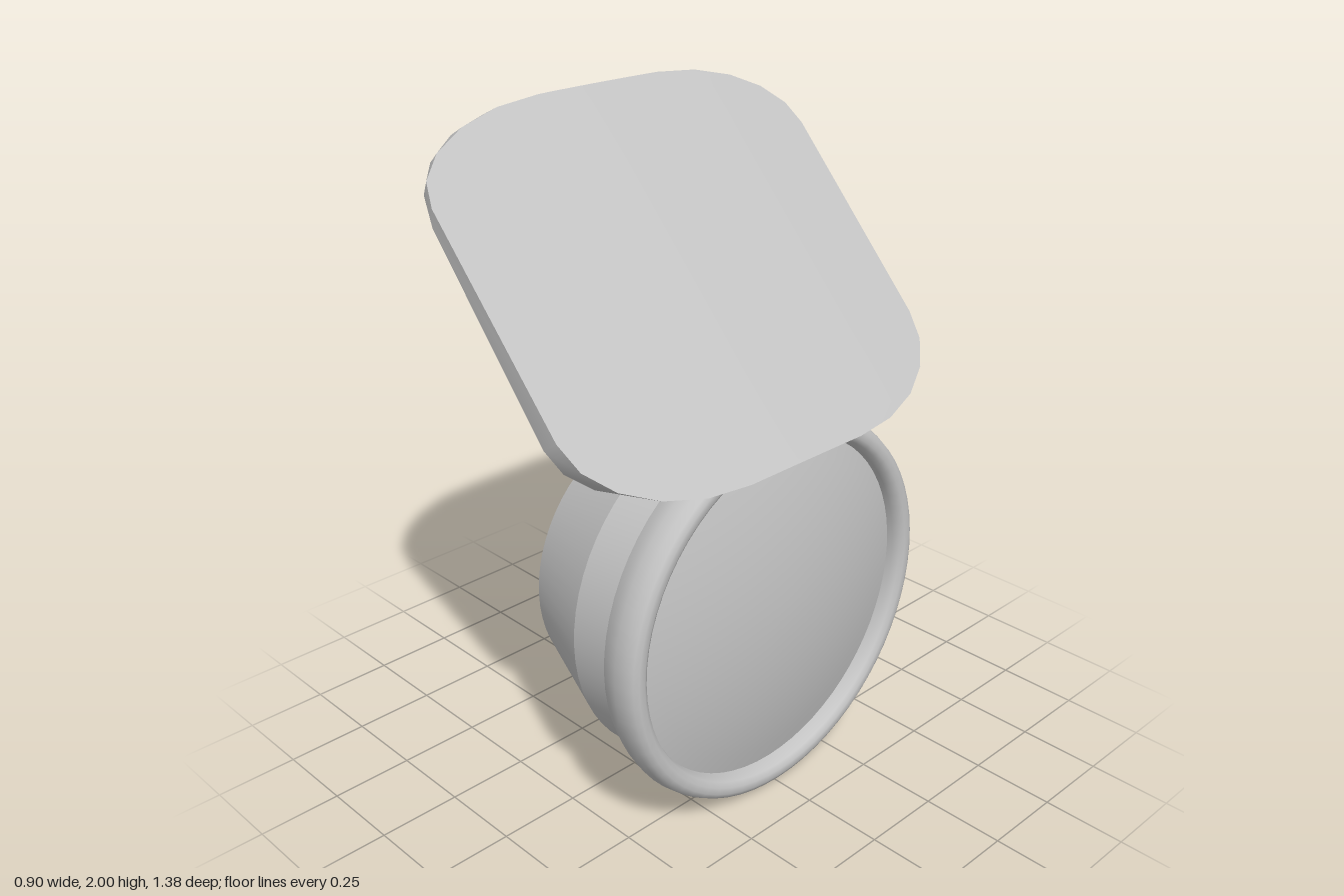
import * as THREE from 'three';
import { toCreasedNormals } from 'three/addons/utils/BufferGeometryUtils.js';

const grey = new THREE.MeshStandardMaterial({ color: 0xc4c4c4 });
grey.name = 'plainGrey';

function addMesh(group, name, geometry, crease) {
  const mesh = new THREE.Mesh(toCreasedNormals(geometry, crease), grey);
  mesh.name = name;
  group.add(mesh);
  return mesh;
}

// Turned part along the x axis; profile points are [x, radius]
function turned(profile) {
  const pts = profile.map(([x, r]) => new THREE.Vector2(r, x));
  return new THREE.LatheGeometry(pts, 64).rotateZ(-Math.PI / 2);
}

// Slightly domed slab with rounded corners, sloping down towards +x
function visorGeometry() {
  const halfZ = 0.69, straightZ = 0.22, steps = 5, cols = 10;
  const top = { cx: 0.04, cy: 1.555, dx: 0.41, dy: -0.445, start: 0.6, end: 0.52, dip: -0.03 };
  const under = { cx: -0.07, cy: 1.515, dx: 0.38, dy: -0.445, start: 0.48, end: 0.6, dip: 0.03 };

  // Position along the slope for a row of the rounded outline
  const along = (s, sign, c) => {
    const straight = sign < 0 ? s.start : s.end;
    return sign * (straight + (1 - straight) * c);
  };
  const point = (s, u, z) => {
    const d = s.dip * (z / halfZ) ** 2;
    return [s.cx + s.dx * u + d * 0.735, s.cy + s.dy * u + d * 0.677, z];
  };

  const rows = [];
  for (const sign of [-1, 1]) {
    for (let i = 0; i <= steps; i++) {
      const a = (sign < 0 ? i : steps - i) / steps * Math.PI / 2;
      const w = straightZ + (halfZ - straightZ) * Math.sin(a);
      const c = Math.cos(a);
      const loop = [];
      for (let j = 0; j <= cols; j++) loop.push(point(top, along(top, sign, c), w * (2 * j / cols - 1)));
      for (let j = cols; j >= 0; j--) loop.push(point(under, along(under, sign, c), w * (2 * j / cols - 1)));
      rows.push(loop);
    }
  }

  const n = rows[0].length;
  const positions = rows.flat(2);
  const index = [];
  for (let i = 0; i < rows.length - 1; i++) {
    for (let j = 0; j < n; j++) {
      const a = i * n + j, b = i * n + (j + 1) % n;
      index.push(a, b, a + n, b, b + n, a + n);
    }
  }
  // End walls
  const last = (rows.length - 1) * n;
  for (let j = 0; j < cols; j++) {
    const k = n - 1 - j;
    index.push(j, k, j + 1, j + 1, k, k - 1);
    index.push(last + j, last + j + 1, last + k, last + j + 1, last + k - 1, last + k);
  }
  const g = new THREE.BufferGeometry();
  g.setAttribute('position', new THREE.Float32BufferAttribute(positions, 3));
  g.setIndex(index);
  g.computeVertexNormals();
  return g;
}

export function createModel() {
  const model = new THREE.Group();
  model.name = 'hoodedLamp';

  const lamp = new THREE.Group();
  lamp.name = 'lamp';
  lamp.position.y = 0.595;
  model.add(lamp);

  // Tapered housing with a flat back
  addMesh(lamp, 'housing', turned([
    [-0.405, 0], [-0.405, 0.195], [-0.2, 0.435], [0.09, 0.545], [0.26, 0.545],
  ]), 0.3);

  // Rounded rim around the lens
  addMesh(lamp, 'rim', turned([
    [0.25, 0.53], [0.25, 0.575], [0.28, 0.588], [0.315, 0.595], [0.35, 0.59], [0.372, 0.58],
    [0.38, 0.565], [0.38, 0.545], [0.37, 0.53], [0.35, 0.522], [0.32, 0.52],
  ]), 0.9);

  // Bulging lens
  const lens = [];
  for (let i = 0; i <= 8; i++) {
    const r = 0.525 * (1 - i / 8);
    lens.push([0.405 - 0.275 * r * r, r]);
  }
  addMesh(lamp, 'lens', turned(lens), 0.9);

  // Sloping hood above the lamp
  addMesh(model, 'visor', visorGeometry(), 0.6);

  return model;
}
